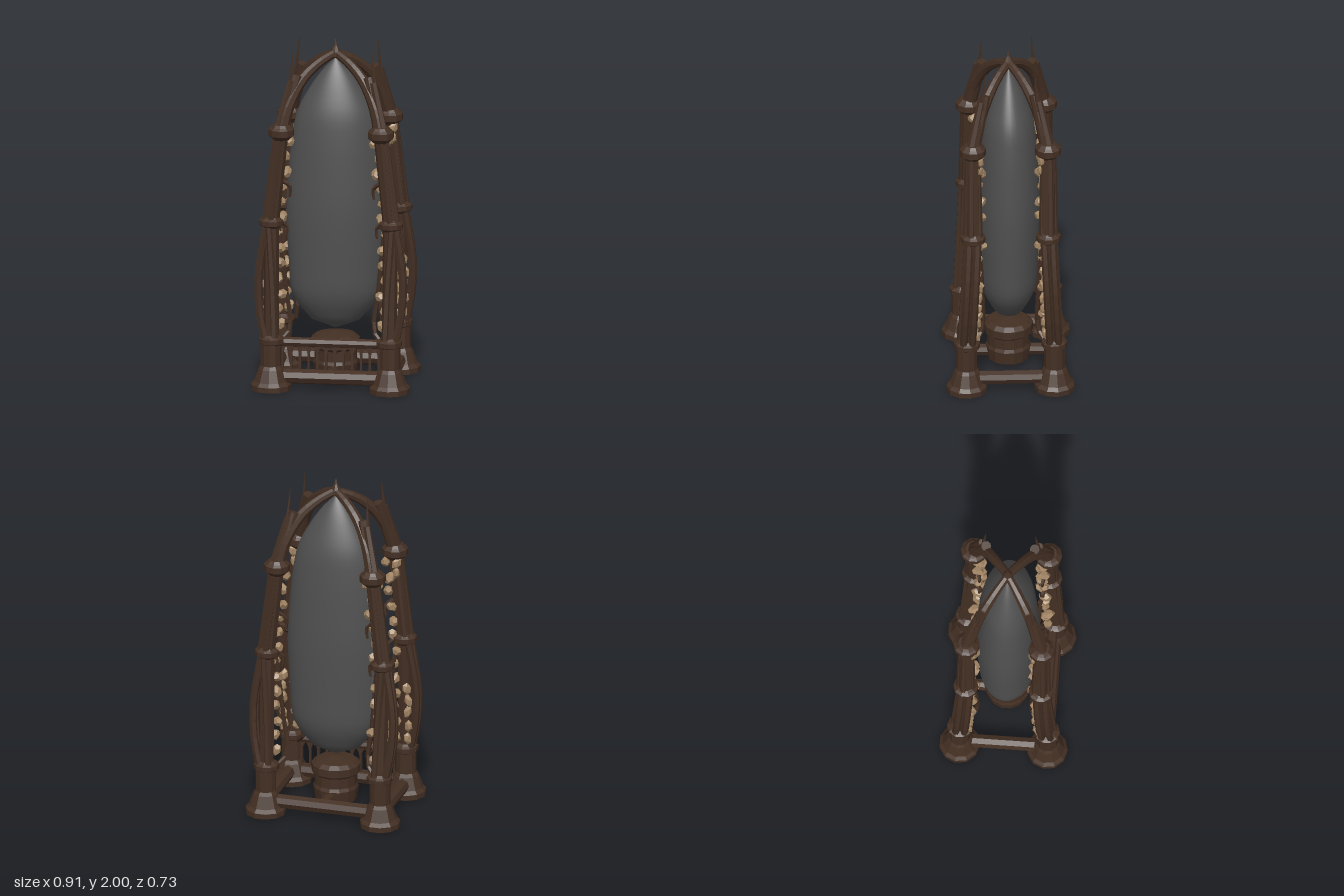
import * as THREE from 'three';

const V = (x, y, z) => new THREE.Vector3(x, y, z);

export function createModel() {
  const model = new THREE.Group();
  model.name = 'framedPod';
  const mat = (name, color, flat) => {
    const m = new THREE.MeshStandardMaterial({ color, flatShading: flat });
    m.name = name;
    return m;
  };
  const wood = mat('darkBrown', 0x432f23, true);
  const tan = mat('tan', 0xa18463, true);
  const grey = mat('grey', 0x505050, false);

  const add = (parent, name, geo, material = wood) => {
    const mesh = new THREE.Mesh(geo, material);
    mesh.name = name;
    parent.add(mesh);
    return mesh;
  };
  // Straight tapered rod between two points
  const rod = (parent, name, a, b, ra, rb = ra, sides = 8) => {
    const dir = b.clone().sub(a);
    const geo = new THREE.CylinderGeometry(rb, ra, dir.length(), sides);
    const mesh = add(parent, name, geo);
    mesh.position.copy(a).add(b).multiplyScalar(0.5);
    mesh.quaternion.setFromUnitVectors(V(0, 1, 0), dir.normalize());
    return mesh;
  };
  // Curved rod whose radius eases from ra to rb
  const sweep = (parent, name, pts, ra, rb, sides = 7, segs = 10) => {
    const curve = new THREE.CatmullRomCurve3(pts);
    const geo = new THREE.TubeGeometry(curve, segs, 1, sides, false);
    const p = geo.attributes.position;
    const v = V(0, 0, 0);
    for (let i = 0; i < p.count; i++) {
      const t = Math.floor(i / (sides + 1)) / segs;
      const c = curve.getPointAt(t);
      v.fromBufferAttribute(p, i).sub(c).multiplyScalar(ra + (rb - ra) * t).add(c);
      p.setXYZ(i, v.x, v.y, v.z);
    }
    return add(parent, name, geo);
  };
  const lathe = (pts, sides) =>
    new THREE.LatheGeometry(pts.map(([x, y]) => new THREE.Vector2(x, y)), sides);

  // Pod: pointed lathe body, flattened front to back
  const podCurve = new THREE.SplineCurve([
    [0.14, 0.36], [0.245, 0.5], [0.268, 0.7], [0.282, 1.0], [0.268, 1.25],
    [0.25, 1.42], [0.22, 1.57], [0.155, 1.7], [0.08, 1.81], [0, 1.895],
  ].map(([x, y]) => new THREE.Vector2(x, y)));
  const podProfile = [new THREE.Vector2(0, 0.305), ...podCurve.getPoints(28)];
  podProfile.forEach((p) => { p.x = Math.max(p.x, 0); });
  add(model, 'pod', new THREE.LatheGeometry(podProfile, 40).scale(1, 1, 0.635), grey);

  // Pedestal under the pod
  add(model, 'pedestal', lathe([
    [0, 0.035], [0.12, 0.035], [0.13, 0.11], [0.122, 0.13], [0.122, 0.19], [0.14, 0.205],
    [0.14, 0.25], [0.115, 0.27], [0, 0.292],
  ], 14));

  // Column centre line
  const centre = (y) => {
    if (y < 0.97) {
      const t = (y - 0.28) / 0.69;
      return [0.336 + 0.006 * t, 0.248 - 0.034 * t];
    }
    const t = (y - 0.97) / 0.53;
    return [0.342 - 0.057 * t, 0.214];
  };
  const ringProfile = [[0.045, -0.045], [0.06, -0.03], [0.075, -0.018], [0.075, 0.018], [0.06, 0.03], [0.045, 0.045]];

  for (const sx of [1, -1]) for (const sz of [1, -1]) {
    const column = new THREE.Group();
    column.name = `${sz > 0 ? 'front' : 'back'}${sx > 0 ? 'Left' : 'Right'}Column`;
    model.add(column);
    const P = (x, y, z) => V(x * sx, y, z * sz);
    const C = (y, dx = 0, dz = 0) => {
      const [x, z] = centre(y);
      return P(x + dx, y, z + dz);
    };

    // Flared foot and plinth
    add(column, 'foot', lathe([
      [0, 0], [0.116, 0], [0.116, 0.03], [0.098, 0.05], [0.072, 0.12], [0.06, 0.14], [0.06, 0.28], [0, 0.28],
    ], 11)).position.copy(P(0.34, 0, 0.25));

    // Collars
    for (const [y, s] of [[0.285, 0.98], [0.97, 0.95], [1.5, 1]]) {
      const ring = add(column, 'collar', lathe([[0, -0.045], ...ringProfile, [0, 0.045]], 10));
      ring.position.copy(C(y));
      ring.scale.set(s, s > 0.99 ? 1 : 0.75, s);
    }

    // Main shaft, with slim ribs on the upper half
    rod(column, 'lowerShaft', C(0.28), C(0.97), 0.042, 0.044, 8);
    rod(column, 'upperShaft', C(0.97), C(1.5), 0.046, 0.042, 8);
    for (const [dx, dz] of [[0.034, 0.012], [0, 0.036], [0.012, -0.034]]) {
      rod(column, 'upperRib', C(0.97, dx, dz), C(1.5, dx * 0.8, dz * 0.8), 0.021, 0.018, 6);
    }
    // Bowed struts on the lower half
    for (const dz of [0.022, -0.026]) {
      sweep(column, 'bowedStrut', [
        C(0.28, 0.035, dz), C(0.46, 0.068, dz), C(0.65, 0.074, dz), C(0.82, 0.052, dz), C(1.0, 0.022, dz),
      ], 0.022, 0.022, 6, 8);
    }
    sweep(column, 'lowerRib', [C(0.28, -0.02, 0.035), C(0.6, -0.01, 0.034), C(0.97, 0.01, 0.035)], 0.022, 0.02, 6, 5);
    // Thin inner strut
    sweep(column, 'innerStrut', [
      P(0.29, 0.27, 0.2), P(0.24, 0.33, 0.16), P(0.262, 0.55, 0.158), P(0.282, 0.75, 0.168), P(0.305, 0.97, 0.185),
    ], 0.014, 0.013, 6, 10);
    // Short hooks beside the pod
    for (const y of [0.92, 1.15]) {
      const [x, z] = centre(y);
      sweep(column, 'hook', [
        P(x - 0.04, y + 0.06, z - 0.02), P(x - 0.085, y + 0.02, z - 0.035), P(x - 0.08, y - 0.04, z - 0.035),
      ], 0.014, 0.008, 5, 4);
    }

    // Ragged growth along the inner corner
    for (let i = 0; i < 13; i++) {
      const y = 0.37 + i * 0.089;
      const w = Math.sin(i * 2.4) * 0.013;
      const flake = add(column, 'growth', new THREE.DodecahedronGeometry(0.034), tan);
      flake.position.copy(C(y, -0.045 + w, -0.037 - w));
      flake.scale.set(0.85, 1.15, 0.8);
      flake.rotation.set(i * 0.9, i * 1.7 * sx, 0.5 * sx);
    }
    // Fuller growth near the bottom and under the top collar
    for (const [y, dx, dz] of [
      [0.36, 0.03, -0.045], [0.44, 0.035, -0.05], [0.53, 0.03, -0.045], [0.6, 0.035, -0.05],
      [0.67, 0.025, -0.045], [1.38, 0.005, -0.04], [1.44, 0.015, -0.04],
    ]) {
      const flake = add(column, 'growth', new THREE.IcosahedronGeometry(0.032), tan);
      flake.position.copy(C(y, dx, dz));
      flake.scale.set(0.9, 1.3, 0.6);
      flake.rotation.set(0, y * 20, 0.4 * sx);
    }

    // Arch to the apex, cut stub and spike
    sweep(column, 'arch', [
      P(0.285, 1.5, 0.214), P(0.247, 1.65, 0.182), P(0.172, 1.79, 0.122), P(0.085, 1.872, 0.06), P(0, 1.918, 0),
    ], 0.042, 0.023, 8, 12);
    rod(column, 'stub', P(0.283, 1.5, 0.21), P(0.205, 1.815, 0.138), 0.038, 0.029, 9);
    rod(column, 'archRib', P(0.3, 1.52, 0.225), P(0.235, 1.79, 0.165), 0.026, 0.02, 6);
    rod(column, 'spike', P(0.248, 1.66, 0.165), P(0.226, 1.968, 0.14), 0.02, 0.001, 5);
  }

  // Apex finial
  add(model, 'apex', lathe([[0, 1.885], [0.034, 1.9], [0.03, 1.925], [0.012, 1.96], [0, 2]], 8));

  // Base beams
  for (const s of [1, -1]) {
    rod(model, 'longBeam', V(-0.32, 0.075, 0.243 * s), V(0.32, 0.075, 0.243 * s), 0.042);
    rod(model, 'sideBeam', V(0.34 * s, 0.075, -0.23), V(0.34 * s, 0.075, 0.23), 0.04);
  }
  rod(model, 'crossBeam', V(0, 0.075, -0.24), V(0, 0.075, 0.24), 0.034);

  // Front balustrade: top rail and a panel of pointed arches
  rod(model, 'frontRail', V(-0.31, 0.275, 0.235), V(0.31, 0.275, 0.235), 0.028);
  const panel = new THREE.Shape([[-0.28, 0.1], [0.28, 0.1], [0.28, 0.265], [-0.28, 0.265]]
    .map(([x, y]) => new THREE.Vector2(x, y)));
  for (let i = -5; i <= 5; i++) {
    const x = i * 0.05;
    const hole = new THREE.Path();
    hole.moveTo(x - 0.019, 0.115);
    hole.lineTo(x - 0.019, 0.205);
    hole.quadraticCurveTo(x - 0.017, 0.235, x, 0.252);
    hole.quadraticCurveTo(x + 0.017, 0.235, x + 0.019, 0.205);
    hole.lineTo(x + 0.019, 0.115);
    panel.holes.push(hole);
  }
  const fret = new THREE.ExtrudeGeometry(panel, { depth: 0.02, bevelEnabled: false, curveSegments: 4 });
  add(model, 'balusters', fret.translate(0, 0, 0.225));

  return model;
}
